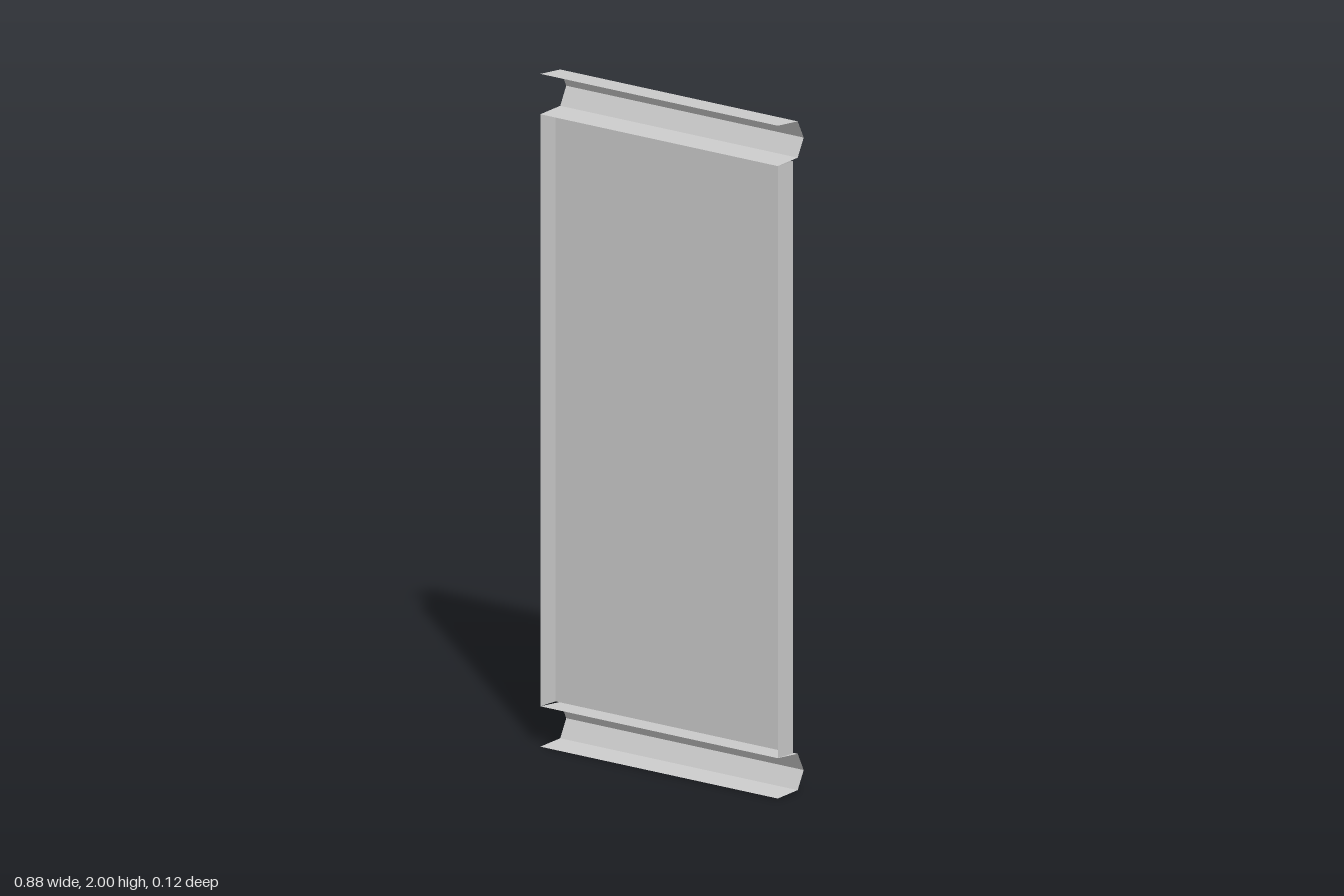
import * as THREE from 'three';

const WIDTH = 0.882;
const FRONT = 0.057; // z of the open front edges
const material = new THREE.MeshStandardMaterial({
  color: 0xcccccc, side: THREE.DoubleSide, flatShading: true,
});

// Thin sheet folded along a path of [x, y] points and swept along z
function foldedSheet(name, path, length) {
  const h = length / 2;
  const positions = [];
  for (let i = 0; i < path.length - 1; i++) {
    const [ax, ay] = path[i];
    const [bx, by] = path[i + 1];
    positions.push(ax, ay, h, bx, by, h, bx, by, -h);
    positions.push(ax, ay, h, bx, by, -h, ax, ay, -h);
  }
  const geometry = new THREE.BufferGeometry();
  geometry.setAttribute('position', new THREE.Float32BufferAttribute(positions, 3));
  geometry.computeVertexNormals();
  const mesh = new THREE.Mesh(geometry, material);
  mesh.name = name;
  return mesh;
}

export function createModel() {
  const group = new THREE.Group();
  group.name = 'foldedPanel';

  // Upright tray: back sheet with a forward flange on each side
  const back = 0.012;
  const x = WIDTH / 2;
  const tray = foldedSheet('tray', [[-x, -FRONT], [-x, back], [x, back], [x, -FRONT]], 1.76);
  tray.rotation.x = -Math.PI / 2;
  tray.position.y = 1;
  group.add(tray);

  // Channels across the top and bottom, open to the front with a V-shaped back
  const profile = [[-FRONT, 0.12], [0.033, 0.114], [0.06, 0.06], [0.033, 0.006], [-FRONT, 0]];
  for (const [name, y] of [['topChannel', 1.88], ['bottomChannel', 0]]) {
    const channel = foldedSheet(name, profile, WIDTH);
    channel.rotation.y = Math.PI / 2;
    channel.position.y = y;
    group.add(channel);
  }

  return group;
}
